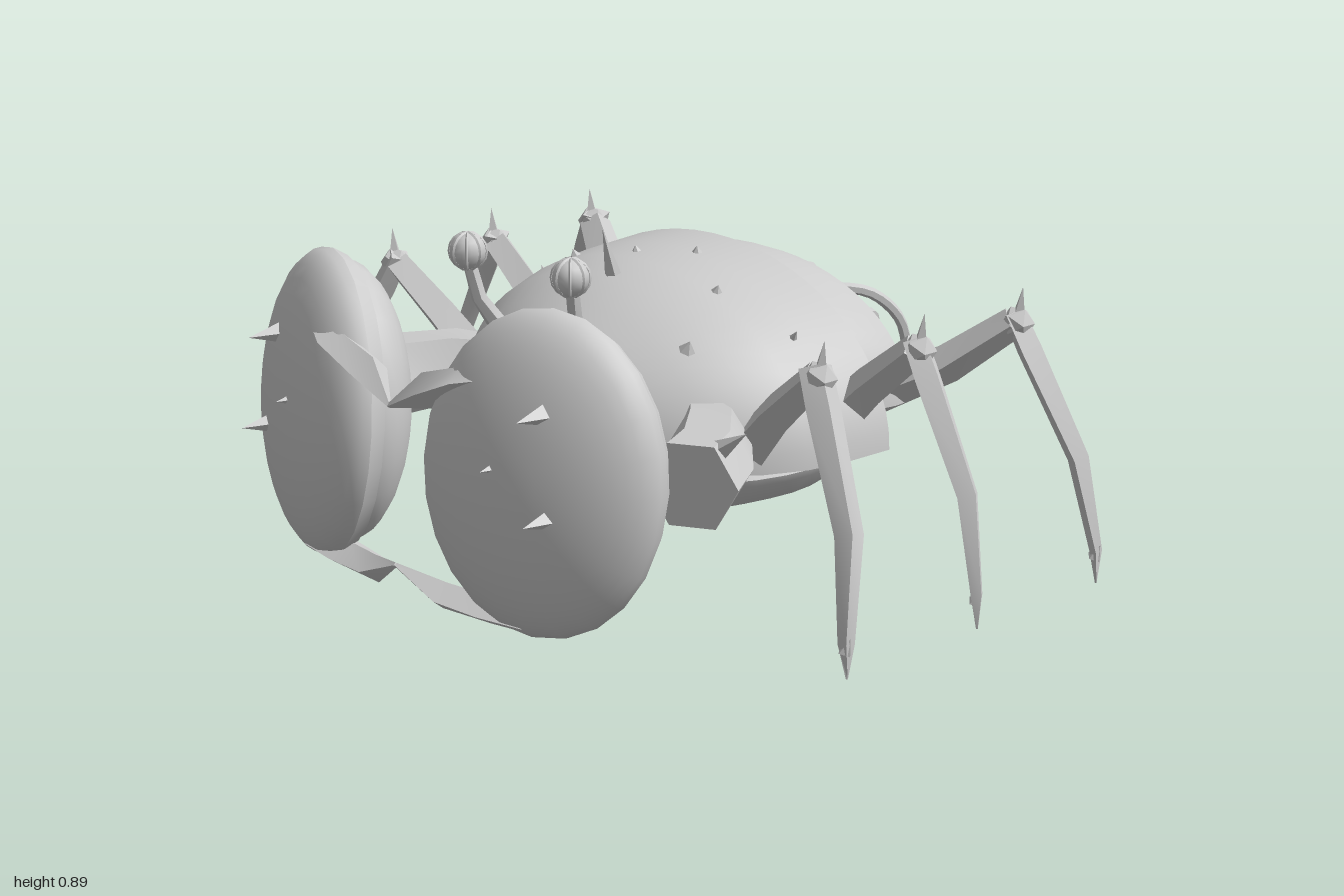
import * as THREE from 'three';
import { toCreasedNormals } from 'three/addons/utils/BufferGeometryUtils.js';

const V = (x, y, z) => new THREE.Vector3(x, y, z);
const shellGrey = new THREE.MeshStandardMaterial({ color: 0xcccccc, side: THREE.DoubleSide });
shellGrey.name = 'shellGrey';

// Mesh with edges sharper than the crease angle kept hard
function add(parent, name, geometry, crease = 0.5) {
  const mesh = new THREE.Mesh(toCreasedNormals(geometry, crease), shellGrey);
  mesh.name = name;
  parent.add(mesh);
  return mesh;
}

// Skin over a list of equal-length cross-sections
function loft(sections, closed = true) {
  const n = sections[0].length, pos = [], index = [];
  sections.forEach(s => s.forEach(p => pos.push(p.x, p.y, p.z)));
  for (let i = 0; i < sections.length - 1; i++) {
    for (let j = 0; j < (closed ? n : n - 1); j++) {
      const a = i * n + j, b = i * n + (j + 1) % n;
      index.push(a, b, a + n, b, b + n, a + n);
    }
  }
  if (closed) {
    const last = (sections.length - 1) * n;
    for (let j = 1; j < n - 1; j++) index.push(0, j + 1, j, last, last + j, last + j + 1);
  }
  const g = new THREE.BufferGeometry();
  g.setAttribute('position', new THREE.Float32BufferAttribute(pos, 3));
  g.setIndex(index);
  g.computeVertexNormals();
  return g;
}

// Tapering limb: each step is [x, y, z, halfWidth, halfHeight]
function limb(steps, sides = 4) {
  const pts = steps.map(s => V(s[0], s[1], s[2]));
  return loft(steps.map((s, i) => {
    const t = pts[Math.min(i + 1, pts.length - 1)].clone().sub(pts[Math.max(i - 1, 0)]).normalize();
    const side = V(0, 1, 0.01).cross(t).normalize();
    const up = t.clone().cross(side);
    return Array.from({ length: sides }, (_, j) => {
      const a = (j / sides) * Math.PI * 2;
      return pts[i].clone().addScaledVector(side, Math.cos(a) * s[3]).addScaledVector(up, Math.sin(a) * s[4]);
    });
  }));
}

// Half-ellipse arch across the body
function arch(w, base, top, z, n = 28) {
  return Array.from({ length: n + 1 }, (_, j) => {
    const a = (j / n) * Math.PI;
    return V(Math.cos(a) * w, base + Math.sin(a) * (top - base), z);
  });
}

// Half dome facing +z
const dome = () => new THREE.SphereGeometry(1, 24, 10, 0, Math.PI * 2, 0, Math.PI / 2).rotateX(Math.PI / 2);

// Thorn pointing along a direction
function thorn(parent, name, p, dir, r, h, sides = 4) {
  const m = add(parent, name, new THREE.ConeGeometry(r, h, sides).translate(0, h / 2 - 0.01, 0));
  m.position.copy(p);
  m.quaternion.setFromUnitVectors(V(0, 1, 0), dir.clone().normalize());
}

function buildBody(root) {
  const body = new THREE.Group();
  body.name = 'body';
  root.add(body);

  // Domed back shell, open at the rear
  const rows = [[0.01, 0.5, 0.355], [0.13, 0.55, 0.335], [0.25, 0.6, 0.29], [0.37, 0.65, 0.225], [0.47, 0.71, 0.13],
    [0.55, 0.76, 0.03], [0.6, 0.785, -0.08], [0.62, 0.8, -0.2], [0.625, 0.81, -0.35]];
  add(body, 'backShell', loft(rows.map(([w, top, z]) => arch(w, 0.36, top, z)), false), 0.7);
  add(body, 'shellEdge', loft([arch(0.625, 0.36, 0.81, -0.35), arch(0.57, 0.36, 0.76, -0.35),
    arch(0.5, 0.36, 0.73, -0.43)], false));

  // Rear rim with thickness
  add(body, 'rearRim', loft([arch(0.46, 0.42, 0.7, -0.41), arch(0.5, 0.42, 0.77, -0.41), arch(0.515, 0.42, 0.76, -0.5),
    arch(0.51, 0.42, 0.74, -0.555), arch(0.44, 0.42, 0.68, -0.555), arch(0.42, 0.42, 0.66, -0.45)], false));

  // Shallow belly bowl and inner flesh
  const profile = [[0, 0.16], [0.18, 0.168], [0.34, 0.195], [0.45, 0.24], [0.51, 0.3], [0.52, 0.32], [0.5, 0.36], [0.4, 0.38], [0, 0.4]];
  const belly = add(body, 'belly', new THREE.LatheGeometry(profile.map(p => new THREE.Vector2(...p)), 36));
  belly.scale.set(0.99, 1, 0.95);
  belly.position.z = -0.19;
  const flesh = add(body, 'innerBody', new THREE.SphereGeometry(1, 24, 14));
  flesh.scale.set(0.46, 0.24, 0.42);
  flesh.position.set(0, 0.46, -0.24);

  // Faceted lumps in the rear opening: [x, y, z, rx, ry, rz]
  [[0, 0.56, -0.62, 0.15, 0.14, 0.17], [0.22, 0.51, -0.59, 0.14, 0.14, 0.13], [-0.22, 0.51, -0.59, 0.14, 0.14, 0.13],
    [0.1, 0.43, -0.745, 0.07, 0.07, 0.068], [-0.1, 0.43, -0.745, 0.07, 0.07, 0.068]].forEach(([x, y, z, rx, ry, rz]) => {
    const m = add(body, 'rearLump', new THREE.SphereGeometry(1, 7, 5), 0.2);
    m.scale.set(rx, ry, rz);
    m.position.set(x, y, z);
  });
  thorn(body, 'rearSpike', V(0, 0.745, -0.42), V(0, -0.25, -1), 0.025, 0.21);

  // Crown spike and shell bumps
  thorn(body, 'crownSpike', V(0, 0.76, 0.01), V(0, 1, 0.3), 0.024, 0.14, 6);
  [[0.08, 0.795, -0.21], [-0.06, 0.785, -0.13], [0.26, 0.745, -0.1], [-0.26, 0.745, -0.1], [0.35, 0.655, 0.09],
    [-0.31, 0.625, 0.15], [0.46, 0.655, -0.17], [-0.46, 0.655, -0.17]].forEach(([x, y, z]) =>
    thorn(body, 'shellBump', V(x, y, z), V(x, 0.6, 0.1), Math.abs(x) > 0.4 ? 0.012 : 0.022, 0.03, 6));

  // Mouth
  const mouth = add(body, 'mouth', new THREE.SphereGeometry(1, 10, 8), 0.2);
  mouth.scale.set(0.09, 0.06, 0.06);
  mouth.position.set(0, 0.29, 0.24);
}

function buildSide() {
  const side = new THREE.Group();

  // Walking legs: [base z, knee z, foot z, thigh half width]
  [[0.02, 0.085, 0.2, 0.065], [-0.27, -0.27, -0.27, 0.06], [-0.5, -0.645, -0.74, 0.07]].forEach(([zb, zk, zf, w], i) => {
    const leg = new THREE.Group();
    leg.name = ['frontLeg', 'middleLeg', 'rearLeg'][i];
    side.add(leg);
    const bx = i === 2 ? 0.4 : 0.5, mid = zk + (zf - zk) * 0.6;
    add(leg, 'thigh', limb([[bx, 0.42, zb, w, 0.06], [0.62, 0.54, zb + (zk - zb) * 0.5, w * 0.85, 0.05], [0.77, 0.665, zk, 0.045, 0.04]]));
    add(leg, 'shin', limb([[0.765, 0.69, zk, 0.043, 0.03], [0.81, 0.6, zk + (zf - zk) * 0.15, 0.045, 0.034],
      [0.945, 0.335, mid, 0.036, 0.028], [0.985, 0.09, zf, 0.02, 0.016], [0.99, 0.005, zf, 0.003, 0.003]]));
    add(leg, 'knee', new THREE.IcosahedronGeometry(0.044, 0)).position.set(0.78, 0.665, zk);
    thorn(leg, 'kneeSpike', V(0.785, 0.69, zk), V(0.12, 1, 0), 0.02, 0.08);
    thorn(leg, 'footBarb', V(0.985, 0.08, zf), V(0.5, 1, 0), 0.02, 0.04);
  });

  // Flaring curved claw arm
  add(side, 'clawArm', limb([[0.38, 0.46, 0.07, 0.06, 0.08], [0.47, 0.45, 0.13, 0.1, 0.1],
    [0.56, 0.43, 0.23, 0.11, 0.11], [0.62, 0.42, 0.345, 0.115, 0.12]], 6));
  thorn(side, 'armSpike', V(0.65, 0.5, 0.29), V(1, 0.7, -0.05), 0.03, 0.12);

  // Claw: domed face plate over a narrower back dome
  const claw = new THREE.Group();
  claw.name = 'claw';
  claw.position.set(0.41, 0.46, 0.615);
  claw.rotation.set(-0.08, 0.32, 0);
  side.add(claw);
  add(claw, 'clawFace', dome().scale(0.32, 0.395, 0.14), 0.7);
  add(claw, 'clawRim', new THREE.CylinderGeometry(1, 0.95, 0.04, 24).rotateX(Math.PI / 2).scale(0.32, 0.395, 1)).position.z = -0.02;
  add(claw, 'clawBack', dome().rotateY(Math.PI).scale(0.295, 0.365, 0.155), 0.7).position.z = -0.035;
  [[0.49, 0.64, 0.69, 0.03], [0.52, 0.4, 0.7, 0.03], [0.38, 0.5, 0.745, 0.017]].forEach(([x, y, z, r]) =>
    thorn(side, 'clawSpike', V(x, y, z), V(0.12, 0, 1), r, r * 3.5));

  // Pincer tips
  add(side, 'upperPincer', limb([[0.36, 0.7, 0.68, 0.02, 0.01], [0.24, 0.675, 0.715, 0.05, 0.03],
    [0.11, 0.62, 0.715, 0.05, 0.045], [0, 0.565, 0.745, 0.006, 0.006]]));
  add(side, 'lowerPincer', limb([[0.4, 0.1, 0.64, 0.06, 0.035], [0.27, 0.1, 0.665, 0.06, 0.035],
    [0.13, 0.105, 0.69, 0.05, 0.035], [0, 0.16, 0.735, 0.006, 0.006]]));

  // Stalked eye with raised ribs
  const eye = new THREE.Group();
  eye.name = 'eye';
  side.add(eye);
  add(eye, 'eyeStalk', limb([[0.16, 0.6, 0.2, 0.035, 0.035], [0.165, 0.65, 0.26, 0.025, 0.025],
    [0.18, 0.72, 0.305, 0.02, 0.02], [0.19, 0.81, 0.325, 0.018, 0.018]], 6));
  add(eye, 'eyeball', new THREE.SphereGeometry(0.047, 12, 10), 0.7).position.set(0.19, 0.842, 0.33);
  for (let k = 0; k < 4; k++) {
    const rib = add(eye, 'eyeRib', new THREE.TorusGeometry(0.047, 0.004, 4, 16));
    rib.position.set(0.19, 0.842, 0.33);
    rib.rotation.y = k * Math.PI / 4;
  }

  // Mouthparts, brow thorns and feelers
  add(side, 'mandible', limb([[0.14, 0.34, 0.24, 0.025, 0.03], [0.13, 0.32, 0.35, 0.022, 0.025],
    [0.09, 0.27, 0.4, 0.015, 0.018], [0.06, 0.2, 0.42, 0.003, 0.003]], 6));
  add(side, 'feeler', limb([[0.07, 0.6, 0.28, 0.016, 0.016], [0.05, 0.56, 0.34, 0.014, 0.014],
    [0.06, 0.5, 0.38, 0.01, 0.01], [0.09, 0.44, 0.41, 0.002, 0.002]], 6));
  [[0.08, 0.33], [0.14, 0.31], [0.22, 0.28]].forEach(([x, z]) =>
    thorn(side, 'browThorn', V(x, 0.5, z), V(x * 0.8, 0.05, 1), 0.022, 0.09));

  // Curled rear tendrils
  [[[0.25, 0.68, -0.53], [0.31, 0.66, -0.62], [0.335, 0.58, -0.71], [0.335, 0.48, -0.75]],
    [[0.34, 0.62, -0.54], [0.31, 0.6, -0.63], [0.25, 0.52, -0.71], [0.19, 0.45, -0.78]]].forEach(pts =>
    add(side, 'rearTendril', new THREE.TubeGeometry(new THREE.CatmullRomCurve3(pts.map(p => V(...p))), 12, 0.015, 6), 0.7));
  return side;
}

export function createModel() {
  const root = new THREE.Group();
  root.name = 'crab';
  buildBody(root);
  const left = buildSide();
  left.name = 'leftLimbs';
  const right = buildSide();
  right.name = 'rightLimbs';
  right.scale.x = -1;
  root.add(left, right);
  return root;
}
